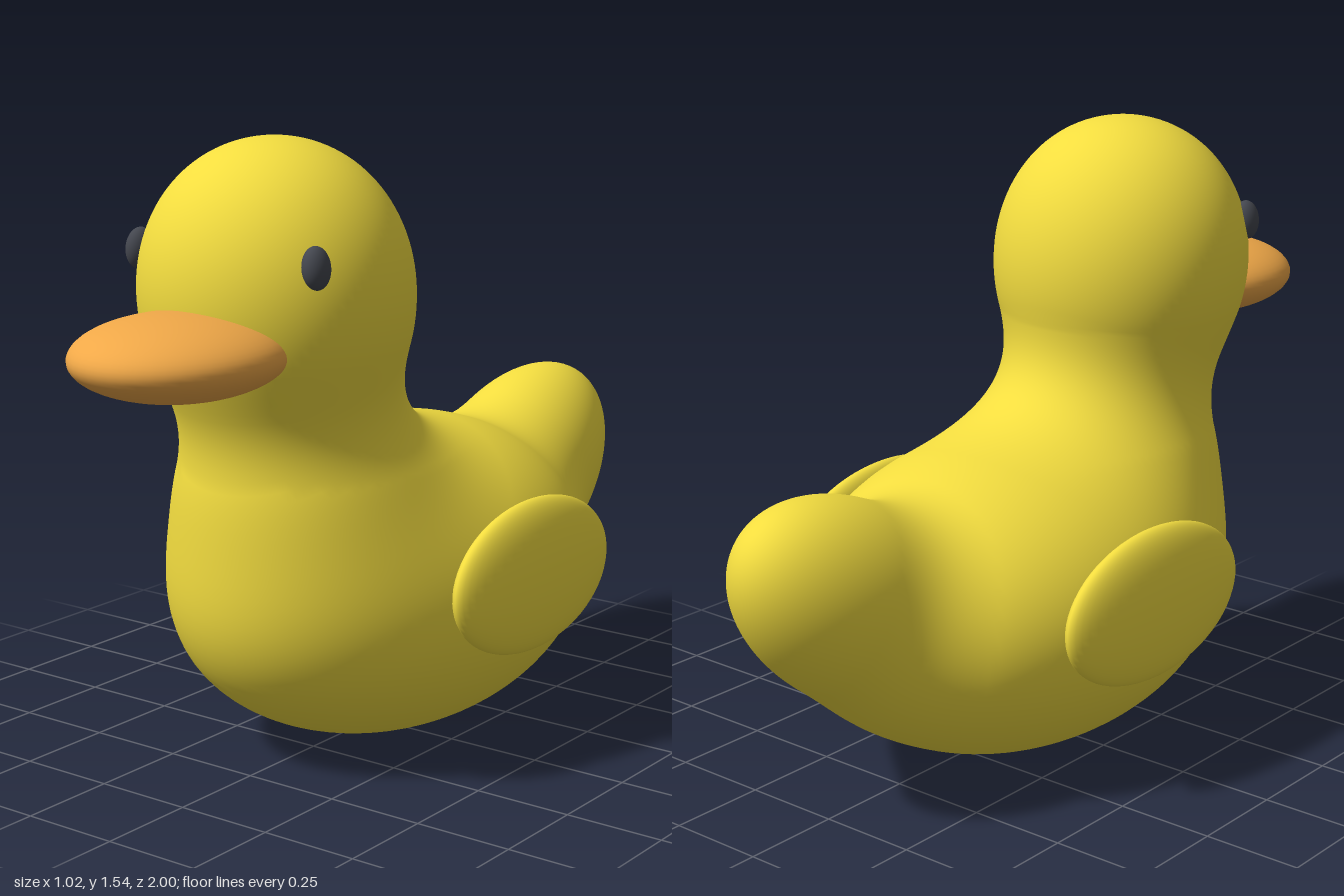
import * as THREE from 'three';

const yellow = new THREE.MeshStandardMaterial({ color: 0xf2dc3f });
const orange = new THREE.MeshStandardMaterial({ color: 0xf0a848 });
const dark = new THREE.MeshStandardMaterial({ color: 0x44474f });

// Distance fields that are blended into one soft body
const ellipsoid = (x, y, z, a, b, c) => {
  const k0 = Math.hypot(x / a, y / b, z / c);
  const k1 = Math.hypot(x / (a * a), y / (b * b), z / (c * c));
  return k1 < 1e-6 ? -Math.min(a, b, c) : (k0 * (k0 - 1)) / k1;
};
const blend = (a, b, k) => {
  const h = Math.max(k - Math.abs(a - b), 0);
  return Math.min(a, b) - (h * h) / (4 * k);
};
function field(x, y, z) {
  const torso = ellipsoid(x, y - 0.4, z + 0.05, 0.465, 0.4, 0.645);
  // the tail rises toward the back
  const tail = ellipsoid(x, y - 0.51 + 0.38 * (z + 0.63), z + 0.63, 0.215, 0.27, 0.37);
  const t = THREE.MathUtils.clamp((y - 0.75) / 0.3, 0, 1);
  const neck = Math.hypot(x, y - 0.75 - 0.3 * t, z - 0.32 - 0.045 * t) - 0.255;
  const head = Math.hypot(x, y - 1.228, z - 0.385) - 0.317;
  return blend(blend(torso, tail, 0.12), blend(neck, head, 0.2), 0.3);
}

// Spine from tail to head: each station has a centre, a bend and a cone angle
function spine() {
  const out = [];
  const half = Math.PI / 2;
  for (let i = 0; i < 24; i++) out.push({ y: 0.57, z: -0.75, bend: 0, lean: -half * (1 - i / 24) });
  for (let i = 0; i < 20; i++) {
    const u = i / 20;
    out.push({ y: 0.57 - 0.15 * u * u * (3 - 2 * u), z: -0.75 + 0.45 * u, bend: 0, lean: 0 });
  }
  for (let i = 0; i < 60; i++) {
    const b = (half * i) / 60;
    out.push({ y: 1.1 - 0.68 * Math.cos(b), z: -0.3 + 0.68 * Math.sin(b), bend: b, lean: 0 });
  }
  for (let i = 0; i < 6; i++) out.push({ y: 1.1 + 0.02 * i, z: 0.38, bend: half, lean: 0 });
  for (let i = 0; i <= 28; i++) out.push({ y: 1.22, z: 0.38, bend: half, lean: (half * i) / 28 });
  return out;
}

// Skin: cast rays outward from the spine to the blended surface
function bodyGeometry() {
  const sides = 96, pos = [], nor = [], idx = [];
  const stations = spine();
  stations.forEach((s, i) => {
    const cb = Math.cos(s.bend), sb = Math.sin(s.bend);
    const cl = Math.cos(s.lean), sl = Math.sin(s.lean);
    for (let j = 0; j < sides; j++) {
      const a = (j / sides) * Math.PI * 2;
      const dx = cl * Math.sin(a);
      const dy = cl * Math.cos(a) * cb + sl * sb;
      const dz = -cl * Math.cos(a) * sb + sl * cb;
      let lo = 0, hi = 0.68;
      for (let n = 0; n < 24; n++) {
        const m = (lo + hi) / 2;
        if (field(dx * m, s.y + dy * m, s.z + dz * m) < 0) lo = m; else hi = m;
      }
      const x = dx * lo, y = s.y + dy * lo, z = s.z + dz * lo, e = 0.004;
      pos.push(x, y, z);
      const n = new THREE.Vector3(
        field(x + e, y, z) - field(x - e, y, z),
        field(x, y + e, z) - field(x, y - e, z),
        field(x, y, z + e) - field(x, y, z - e)).normalize();
      nor.push(n.x, n.y, n.z);
      if (i < stations.length - 1) {
        const p = i * sides + j, q = i * sides + ((j + 1) % sides);
        idx.push(p, p + sides, q + sides, p, q + sides, q);
      }
    }
  });
  const g = new THREE.BufferGeometry();
  g.setAttribute('position', new THREE.Float32BufferAttribute(pos, 3));
  g.setAttribute('normal', new THREE.Float32BufferAttribute(nor, 3));
  g.setIndex(idx);
  return g;
}

function egg(name, material, [x, y, z], [a, b, c]) {
  const mesh = new THREE.Mesh(new THREE.SphereGeometry(1, 48, 32).scale(a, b, c), material);
  mesh.name = name;
  mesh.position.set(x, y, z);
  return mesh;
}

export function createModel() {
  const group = new THREE.Group();
  group.name = 'bathDuck';

  const body = new THREE.Mesh(bodyGeometry(), yellow);
  body.name = 'body';
  group.add(body);

  group.add(egg('beak', orange, [0, 1.077, 0.73], [0.24, 0.098, 0.27]));

  // Paired wings and eyes
  for (const [side, s] of [['left', 1], ['right', -1]]) {
    const wing = egg(side + 'Wing', yellow, [s * 0.446, 0.457, -0.062], [0.062, 0.188, 0.338]);
    wing.rotation.z = s * 0.06;
    const eye = egg(side + 'Eye', dark, [s * 0.263, 1.28, 0.565], [0.03, 0.05, 0.038]);
    eye.rotation.z = s * 0.1;
    group.add(wing, eye);
  }
  return group;
}
